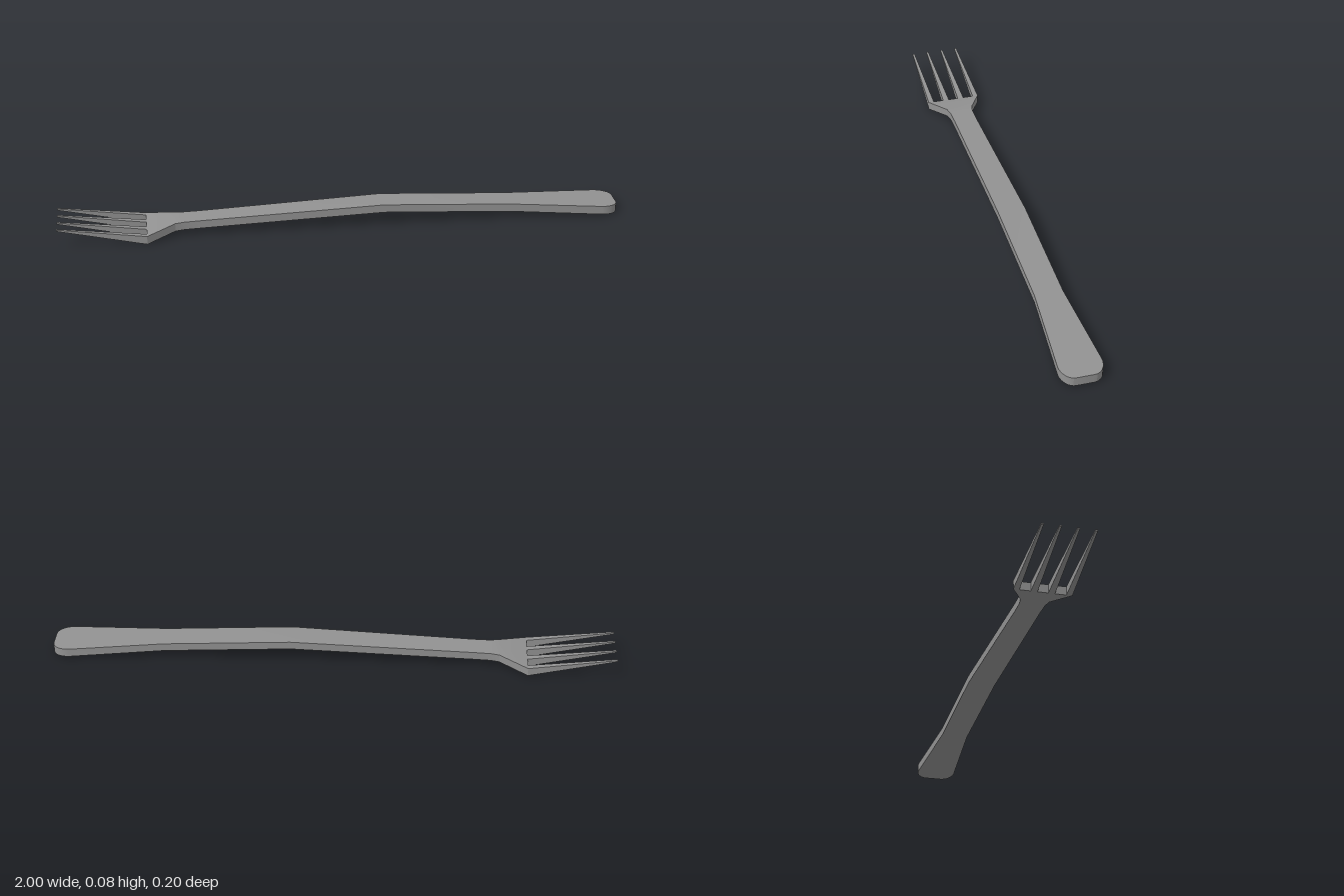
import * as THREE from 'three';
import { toCreasedNormals } from 'three/addons/utils/BufferGeometryUtils.js';

// Lofts rectangular sections [x, zMin, zMax, yBottom, yTop] along increasing x.
function loft(sections) {
  const pos = [], index = [];
  for (const [x, z0, z1, yb, yt] of sections) {
    pos.push(x, yb, z1, x, yb, z0, x, yt, z0, x, yt, z1);
  }
  for (let i = 0; i < sections.length - 1; i++) {
    for (let j = 0; j < 4; j++) {
      const a = i * 4 + j, b = i * 4 + (j + 1) % 4;
      index.push(a, b, b + 4, a, b + 4, a + 4);
    }
  }
  const e = (sections.length - 1) * 4;
  index.push(0, 3, 2, 0, 2, 1, e, e + 1, e + 2, e, e + 2, e + 3);
  const g = new THREE.BufferGeometry();
  g.setAttribute('position', new THREE.Float32BufferAttribute(pos, 3));
  g.setIndex(index);
  return toCreasedNormals(g, 0.25);
}

export function createModel() {
  const group = new THREE.Group();
  group.name = 'fork';
  const steel = new THREE.MeshStandardMaterial({ color: 0x929292 });
  steel.name = 'grey steel';
  const add = (name, geometry) => {
    const mesh = new THREE.Mesh(geometry, steel);
    mesh.name = name;
    group.add(mesh);
  };

  // Handle and neck: x, half width, underside height, top height
  const profile = [
    [-0.69, 0.098, 0.0, 0.03],
    [-0.59, 0.049, 0.021, 0.05],
    [-0.56, 0.043, 0.022, 0.051],
    [-0.5, 0.042, 0.024, 0.053],
    [0.15, 0.049, 0.05, 0.079],
    [0.6, 0.049, 0.027, 0.056],
    [0.94, 0.073, 0.006, 0.037],
  ];
  // Rounded butt of the handle
  for (let i = 1; i <= 8; i++) {
    const a = (i / 8) * Math.PI / 2;
    const x = 0.94 + 0.06 * Math.sin(a);
    const drop = (x - 0.94) / 0.06;
    profile.push([x, 0.03 + 0.043 * Math.cos(a), 0.006 - 0.004 * drop, 0.037 - 0.003 * drop]);
  }
  add('handle', loft(profile.map(([x, w, yb, yt]) => [x, -w, w, yb, yt])));

  // Four tapering tines: base edges and tip centre in z
  const tines = [[0.078, 0.098, 0.086], [0.018, 0.04, 0.029]];
  for (const side of [1, -1]) {
    tines.forEach(([a, b, tip], i) => {
      const z = [side * a, side * b].sort((p, q) => p - q);
      add((i ? 'inner' : 'outer') + 'Tine' + (side > 0 ? 'Left' : 'Right'), loft([
        [-1, side * tip - 0.004, side * tip + 0.004, 0.065, 0.07],
        [-0.69, z[0], z[1], 0.0, 0.03],
      ]));
    });
  }
  return group;
}
